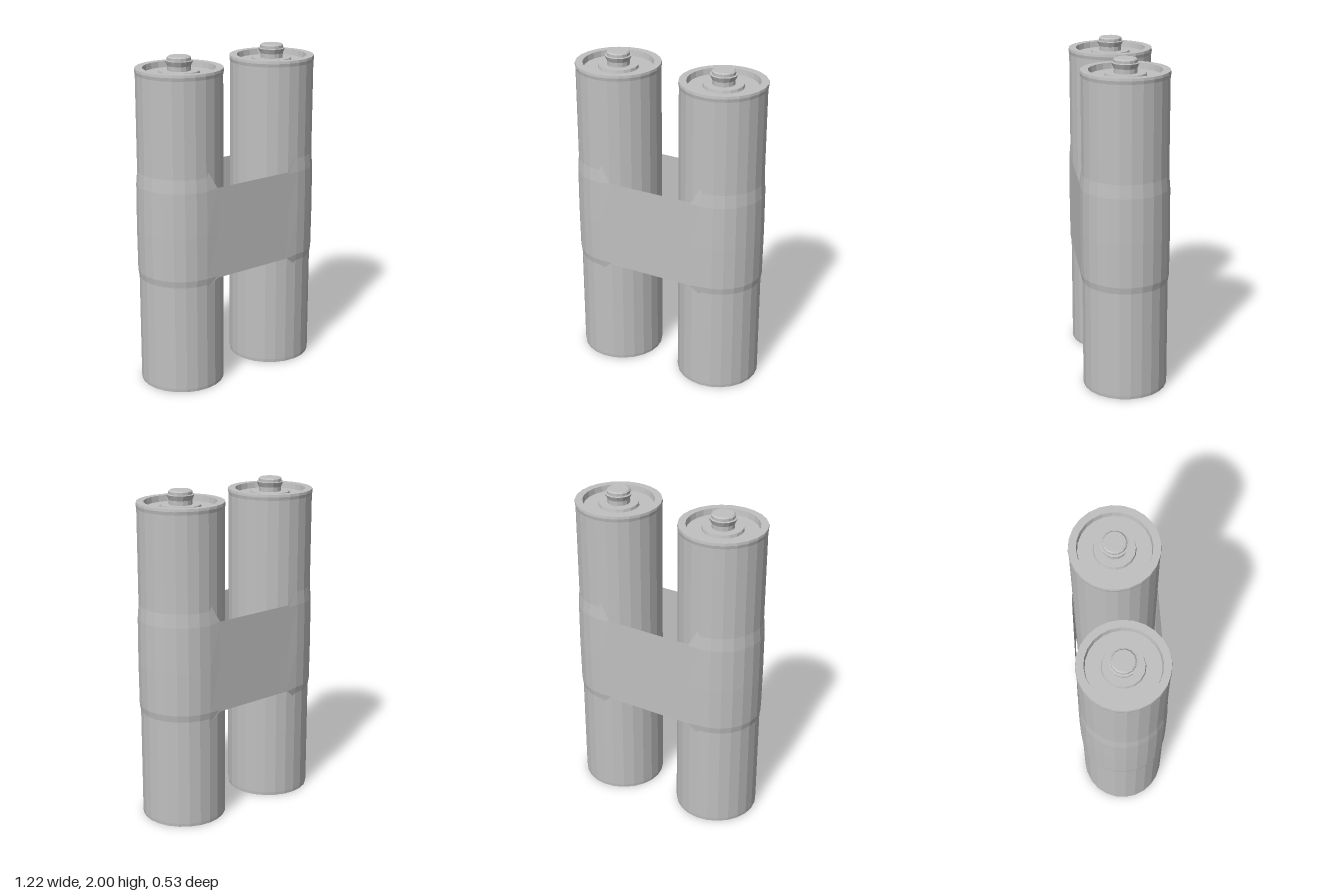
import * as THREE from 'three';

const CELL_X = 0.345;
const BAND_R = 0.262;

const grey = new THREE.MeshStandardMaterial({ color: 0xc0c0c0, flatShading: true });
grey.name = 'grey';
const bandGrey = grey.clone();
bandGrey.name = 'grey band';
bandGrey.side = THREE.DoubleSide;

function lathe(name, profile, sides) {
  const points = profile.map(([r, y]) => new THREE.Vector2(r, y));
  const mesh = new THREE.Mesh(new THREE.LatheGeometry(points, sides), grey);
  mesh.name = name;
  return mesh;
}

// One cylinder with a recessed base, a recessed lid and a terminal
function makeCell(name, x) {
  const cell = new THREE.Group();
  cell.name = name;
  cell.add(
    lathe('casing', [
      [0, 0.03], [0.08, 0.03], [0.08, 0.045], [0.212, 0.045], [0.212, 0], [0.253, 0],
      [0.255, 0.02], [0.255, 1.9], [0.259, 1.92], [0.257, 1.935], [0.213, 1.935],
      [0.208, 1.9], [0, 1.9],
    ], 24),
    lathe('washer', [[0.122, 1.9], [0.118, 1.918], [0, 1.918]], 16),
    lathe('terminal', [
      [0.068, 1.915], [0.068, 1.945], [0.082, 1.975], [0.07, 1.977], [0.07, 1.993], [0.062, 2], [0, 2],
    ], 14),
  );
  cell.position.x = x;
  return cell;
}

// Thin strap looped round both cells, its edges tapering onto the outer curves
function makeBand() {
  const half = [{ x: 0.27, z: -BAND_R, nx: 0, nz: -1, taper: 0 }];
  const steps = 12;
  for (let i = 0; i <= steps; i++) {
    const a = -Math.PI / 2 + (Math.PI * i) / steps;
    const nx = Math.cos(a), nz = Math.sin(a);
    half.push({ x: CELL_X + BAND_R * nx, z: BAND_R * nz, nx, nz, taper: 1 });
  }
  half.push({ x: 0.27, z: BAND_R, nx: 0, nz: 1, taper: 0 });
  const path = [...half, ...half.map((p) => ({ ...p, x: -p.x, z: -p.z, nx: -p.nx, nz: -p.nz }))];

  // Rows: edge height on the straights, extra height on the curves, inset on the curves
  const rows = [
    [0.705, -0.06, 0.012], [0.715, 0, 0], [0.98, 0, -0.002], [1.25, 0, 0], [1.26, 0.13, 0.012],
  ];
  const positions = [], index = [];
  for (const [y, extra, inset] of rows) {
    for (const p of path) {
      const d = inset * p.taper;
      positions.push(p.x - p.nx * d, y + extra * p.taper, p.z - p.nz * d);
    }
  }
  const n = path.length;
  for (let r = 0; r < rows.length - 1; r++) {
    for (let i = 0; i < n; i++) {
      const a = r * n + i, b = r * n + ((i + 1) % n);
      index.push(a, a + n, b, b, a + n, b + n);
    }
  }
  const geometry = new THREE.BufferGeometry();
  geometry.setAttribute('position', new THREE.Float32BufferAttribute(positions, 3));
  geometry.setIndex(index);
  geometry.computeVertexNormals();
  const band = new THREE.Mesh(geometry, bandGrey);
  band.name = 'strap';
  return band;
}

export function createModel() {
  const model = new THREE.Group();
  model.name = 'strappedCells';
  model.add(makeCell('leftCell', CELL_X), makeCell('rightCell', -CELL_X), makeBand());
  return model;
}
